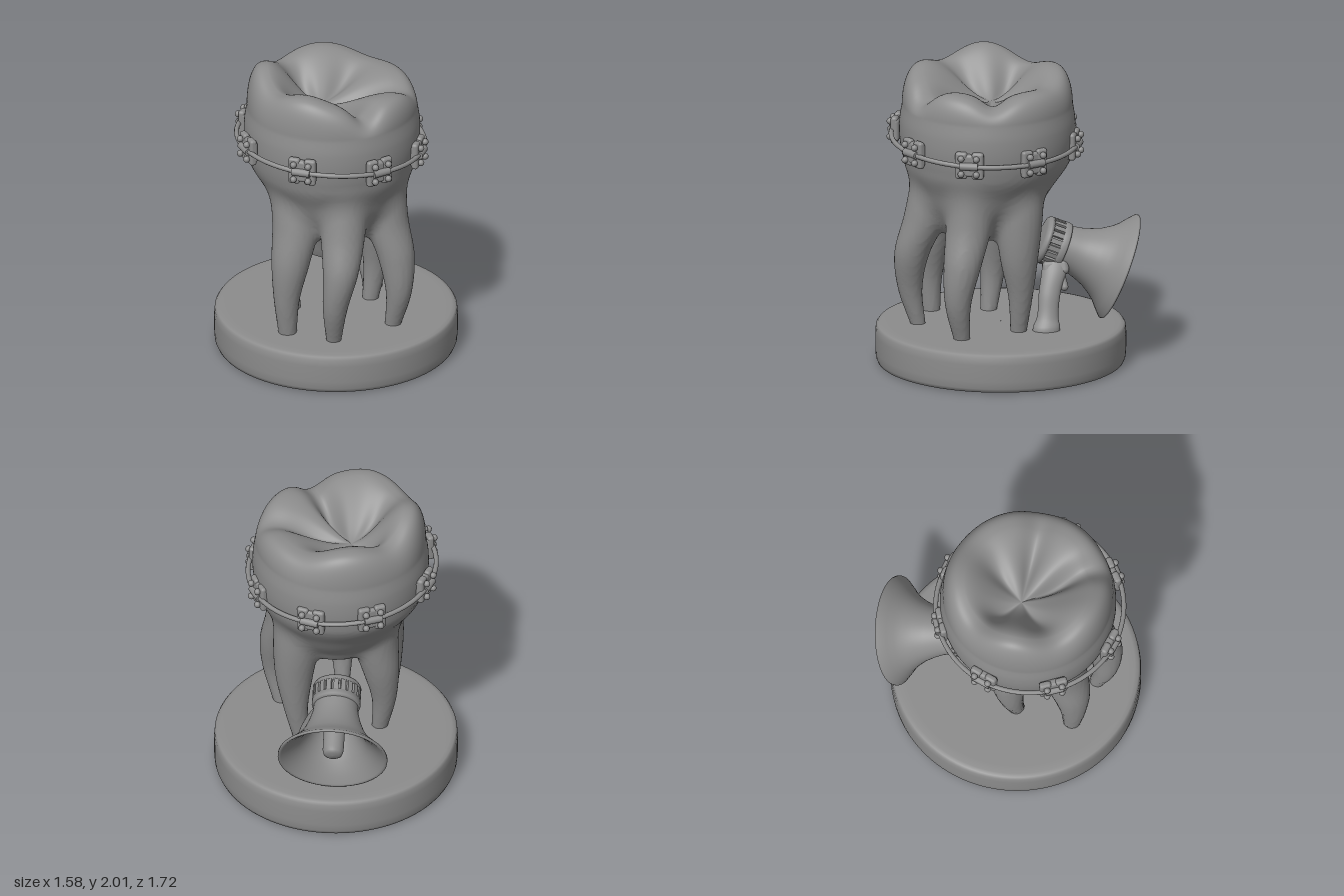
import * as THREE from 'three';
import { RoundedBoxGeometry } from 'three/addons/geometries/RoundedBoxGeometry.js';

const clay = new THREE.MeshStandardMaterial({ color: 0x8c8c8c });
clay.name = 'grey clay';
const RAD = Math.PI / 180;

function add(parent, name, geometry, x = 0, y = 0, z = 0) {
  const mesh = new THREE.Mesh(geometry, clay);
  mesh.name = name;
  mesh.position.set(x, y, z);
  parent.add(mesh);
  return mesh;
}

function build(pos, index) {
  const g = new THREE.BufferGeometry();
  g.setAttribute('position', new THREE.Float32BufferAttribute(pos, 3));
  g.setIndex(index);
  g.computeVertexNormals();
  return g;
}

// Closed-round skin: rows run upward, fn(row, angle) returns [x, y, z]
function skin(rows, sides, fn) {
  const pos = [], index = [];
  for (let i = 0; i <= rows; i++) {
    for (let j = 0; j < sides; j++) pos.push(...fn(i / rows, (j / sides) * Math.PI * 2));
  }
  for (let i = 0; i < rows; i++) {
    for (let j = 0; j < sides; j++) {
      const k = (j + 1) % sides;
      const a = i * sides + j, b = a + sides, c = i * sides + k, d = c + sides;
      index.push(a, b, c, c, b, d);
    }
  }
  return build(pos, index);
}

// Smooth skin around the zero level of field values on a cubic grid
function levelSurface(origin, step, n, f) {
  const stride = [1, n[0], n[0] * n[1]], pos = [], index = [], cell = new Map();
  const each = fn => {
    for (let k = 1; k < n[2] - 1; k++) {
      for (let j = 0; j < n[1] - 1; j++) {
        for (let i = 1; i < n[0] - 1; i++) fn([i, j, k], i + j * stride[1] + k * stride[2]);
      }
    }
  };
  each((p, id) => {
    const sum = [0, 0, 0];
    let count = 0;
    for (let c = 0; c < 8; c++) {
      for (let a = 0; a < 3; a++) {
        if (c & (1 << a)) continue;
        const o = [c & 1, (c >> 1) & 1, c >> 2];
        const q = id + o[0] + o[1] * stride[1] + o[2] * stride[2];
        const u = f[q], v = f[q + stride[a]];
        if ((u < 0) === (v < 0)) continue;
        o[a] = u / (u - v);
        for (let m = 0; m < 3; m++) sum[m] += o[m];
        count++;
      }
    }
    if (!count) return;
    cell.set(id, pos.length / 3);
    for (let m = 0; m < 3; m++) pos.push(origin[m] + step * (p[m] + sum[m] / count));
  });
  each((p, id) => {
    for (let a = 0; a < 3; a++) {
      const inside = f[id] < 0, b = stride[(a + 1) % 3], c = stride[(a + 2) % 3];
      if (inside === (f[id + stride[a]] < 0)) continue;
      const q = [id, id - b, id - b - c, id - c].map(s => cell.get(s));
      if (q.includes(undefined)) continue;
      if (!inside) q.reverse();
      index.push(q[0], q[1], q[2], q[0], q[2], q[3]);
    }
  });
  return build(pos, index);
}

// Smooth values along the height
const alongHeight = (ys, rows) => new THREE.CubicInterpolant(new Float32Array(ys), new Float32Array(rows.flat()), rows[0].length);
const wallRadius = alongHeight([0.85, 0.95, 1.0, 1.1, 1.2, 1.34, 1.48, 1.62, 1.73], [[0.24], [0.31], [0.34], [0.405], [0.457], [0.535], [0.565], [0.568], [0.552]]);

// Roots as rows of [x, z, radius], fused softly into the trunk
const roots = [
  [[-0.01, 0.58, 0.048], [0, 0.635, 0.08], [0.035, 0.625, 0.115], [0.05, 0.535, 0.145], [0.05, 0.465, 0.16]],
  [[0.37, 0.33, 0.052], [0.41, 0.36, 0.085], [0.39, 0.33, 0.122], [0.32, 0.28, 0.15], [0.285, 0.25, 0.17]],
  [[0.22, -0.05, 0.052], [0.255, -0.06, 0.08], [0.265, -0.05, 0.122], [0.25, -0.05, 0.152], [0.22, -0.05, 0.17]],
  [[-0.31, 0.47, 0.058], [-0.315, 0.48, 0.085], [-0.29, 0.46, 0.125], [-0.255, 0.4, 0.155], [-0.26, 0.33, 0.17]],
  [[-0.28, 0.1, 0.052], [-0.31, 0.07, 0.08], [-0.29, 0.05, 0.12], [-0.25, 0.05, 0.155], [-0.25, 0.03, 0.17]],
].map(rows => alongHeight([0.24, 0.5, 0.75, 1.0, 1.28], rows));

function softMin(a, b, k) {
  const h = Math.max(k - Math.abs(a - b), 0) / k;
  return Math.min(a, b) - (h * h * k) / 4;
}

function rootsGeometry() {
  const step = 0.02, n = [66, 63, 66], origin = [-0.67, 0.23, -0.49];
  const field = new Float32Array(n[0] * n[1] * n[2]);
  for (let j = 0; j < n[1]; j++) {
    const y = origin[1] + j * step, R = wallRadius.evaluate(y)[0];
    const low = THREE.MathUtils.clamp((1.38 - y) / 0.38, 0, 1);
    const rings = roots.map(r => [...r.evaluate(y)]);
    for (let k = 0; k < n[2]; k++) {
      for (let i = 0; i < n[0]; i++) {
        const x = origin[0] + i * step, z = origin[2] + k * step;
        const side = Math.hypot(x + 0.025 - 0.03 * low, z - 0.13 - 0.055 * low) - R;
        let d = Math.max(side, 0.92 - 0.25 * Math.max(0, x - 0.1) - y);
        for (const [cx, cz, r] of rings) d = softMin(d, Math.hypot(x - cx, z - cz) - r, 0.06);
        field[i + n[0] * (j + n[1] * k)] = d;
      }
    }
  }
  return levelSurface(origin, step, n, field);
}

// Sum of bell curves around the circle, each [degrees, height, width]
function bells(list, a) {
  let sum = 0;
  for (const [deg, h, w] of list) {
    let d = a / RAD - deg;
    d -= 360 * Math.round(d / 360);
    sum += h * Math.exp(-(d * d) / (w * w));
  }
  return sum;
}
const cusps = [[35, 0.03, 24], [112, 0.1, 32], [182, 0.14, 32], [260, 0.09, 36], [325, 0.02, 24], [0, -0.04, 12], [64, -0.05, 11]];
const fissures = [[0, 0.06, 16], [62, 0.13, 13], [147, 0.07, 16], [220, 0.1, 17], [298, 0.06, 17]];

// Crown: side wall, then rounded cusps sinking into a central pit
function crownGeometry() {
  return skin(84, 120, (v, a) => {
    const top = 1.87 + bells(cusps, a), groove = bells(fissures, a);
    const c = Math.cos(a), s = Math.sin(a);
    if (v < 0.4) {
      const y = 1.4 + 0.33 * (v / 0.4), r = wallRadius.evaluate(y)[0] + 0.002;
      return [-0.025 + c * r, y, 0.13 + s * r];
    }
    const rim = top - 0.25 * groove;
    if (v < 0.7) {
      // shoulder rolling over the rim
      const q = ((v - 0.4) / 0.3) * Math.PI / 2;
      const r = 0.42 + 0.134 * Math.max(0, Math.cos(q)) ** 0.65 - 0.15 * groove * Math.sin(q);
      return [-0.025 + c * r, 1.73 + (rim - 1.73) * Math.sin(q), 0.13 + s * r];
    }
    // chewing surface
    const u = THREE.MathUtils.clamp(1 - (v - 0.7) / 0.3, 0, 1);
    const r = u * (0.42 - 0.15 * groove), e = u * u * (3 - 2 * u);
    const y = 1.72 + (rim - 1.72) * (0.15 * u + 0.85 * e) - groove * 0.65 * Math.sin(Math.PI * u) ** 2;
    return [-0.025 - 0.07 * (1 - u) + c * r, y, 0.13 - 0.03 * (1 - u) + s * r];
  });
}

// Braces: tilted wire ring with eight brackets
function makeBraces() {
  const braces = new THREE.Group();
  braces.name = 'braces';
  const at = (a, r) => {
    const x = -0.034 + r * Math.cos(a), z = 0.143 + r * Math.sin(a);
    return new THREE.Vector3(x, 1.5 - 0.06 * x + 0.02 * z, z);
  };
  const ring = [];
  for (let i = 0; i < 32; i++) ring.push(at((i / 32) * Math.PI * 2, 0.61));
  add(braces, 'wire', new THREE.TubeGeometry(new THREE.CatmullRomCurve3(ring, true), 128, 0.016, 10, true));

  const plate = new RoundedBoxGeometry(0.185, 0.15, 0.05, 3, 0.02);
  const wing = new RoundedBoxGeometry(0.078, 0.18, 0.045, 3, 0.018);
  const knob = new THREE.SphereGeometry(0.022, 14, 10);
  const sleeve = new THREE.CylinderGeometry(0.025, 0.025, 0.12, 14).rotateZ(Math.PI / 2);
  for (const deg of [-112.6, -73.3, -27.3, 15.2, 57.1, 107.7, 154.8, 200.3]) {
    const bracket = new THREE.Group();
    bracket.name = 'bracket';
    bracket.position.copy(at(deg * RAD, 0.582));
    bracket.rotation.y = Math.PI / 2 - deg * RAD;
    add(bracket, 'plate', plate);
    add(bracket, 'sleeve', sleeve, 0, 0, 0.03);
    for (const sx of [-1, 1]) {
      add(bracket, 'wing', wing, sx * 0.054, 0, 0.006);
      for (const sy of [-1, 1]) add(bracket, 'knob', knob, sx * 0.05, sy * 0.052, 0.04);
    }
    braces.add(bracket);
  }
  return braces;
}

const lathe = (pts, sides) => new THREE.LatheGeometry(pts.map(p => new THREE.Vector2(p[0], p[1])), sides);

// Megaphone: horn axis is local y, with the mouth at y = 0
function makeMegaphone() {
  const megaphone = new THREE.Group();
  megaphone.name = 'megaphone';
  const body = new THREE.Group();
  body.name = 'body';
  body.position.set(-0.025, 0.6, -0.73);
  body.rotation.x = 1.19;
  megaphone.add(body);
  add(body, 'horn', lathe([
    [0.001, 0.36], [0.11, 0.34], [0.125, 0.26], [0.165, 0.18], [0.22, 0.1], [0.29, 0.035], [0.335, 0.002],
    [0.345, -0.006], [0.356, -0.002], [0.356, 0.01], [0.308, 0.055], [0.268, 0.09], [0.235, 0.13],
    [0.198, 0.19], [0.17, 0.26], [0.15, 0.33], [0.139, 0.43],
  ], 56));
  add(body, 'speaker plug', lathe([[0.001, 0.015], [0.04, 0.018], [0.06, 0.032], [0.068, 0.06], [0.07, 0.36]], 32));
  // Slotted cap: two bands joined by ribs
  add(body, 'cap core', new THREE.CylinderGeometry(0.138, 0.138, 0.13, 40), 0, 0.475, 0);
  add(body, 'cap band', lathe([[0.135, 0.385], [0.154, 0.39], [0.158, 0.4], [0.158, 0.435], [0.135, 0.437]], 40));
  add(body, 'cap end', lathe([[0.13, 0.508], [0.157, 0.51], [0.157, 0.53], [0.148, 0.546], [0.12, 0.553], [0.001, 0.555]], 40));
  const rib = new THREE.BoxGeometry(0.032, 0.09, 0.03);
  for (let i = 0; i < 20; i++) {
    const a = (i / 20) * Math.PI * 2;
    add(body, 'cap rib', rib, Math.sin(a) * 0.1415, 0.47, Math.cos(a) * 0.1415).rotation.y = a;
  }
  // Handle leaning to one side, with flared foot and trigger; rows of [x, z, radius]
  const grip = alongHeight([0.25, 0.285, 0.33, 0.5, 0.62, 0.69], [[0.235, -0.23, 0.09], [0.23, -0.232, 0.087],
    [0.21, -0.24, 0.072], [0.15, -0.262, 0.072], [0.09, -0.295, 0.082], [0.04, -0.31, 0.085]]);
  add(megaphone, 'handle', skin(32, 28, (t, a) => {
    const y = 0.25 + 0.44 * t, [x, z, r] = grip.evaluate(y);
    return [x + Math.cos(a) * r * 0.72, y, z + Math.sin(a) * r];
  }));
  const mount = add(megaphone, 'handle mount', new RoundedBoxGeometry(0.11, 0.1, 0.17, 3, 0.03), 0.07, 0.63, -0.305);
  mount.rotation.set(0.1, 0, 0.35);
  const trigger = add(megaphone, 'trigger', new THREE.CapsuleGeometry(0.026, 0.06, 6, 12), 0.12, 0.545, -0.35);
  trigger.rotation.set(0.25, 0, 0.4);
  return megaphone;
}

export function createModel() {
  const model = new THREE.Group();
  model.name = 'tooth with megaphone';
  // Round base with softened edges
  const base = add(model, 'base', lathe([[0.001, 0], [0.75, 0], [0.776, 0.006], [0.786, 0.03], [0.79, 0.08], [0.79, 0.19],
    [0.786, 0.235], [0.774, 0.252], [0.75, 0.258], [0.7, 0.26], [0.001, 0.26]], 96), 0, 0, 0.045);
  base.scale.z = 1.03;
  const tooth = new THREE.Group();
  tooth.name = 'tooth';
  add(tooth, 'crown', crownGeometry());
  add(tooth, 'roots', rootsGeometry());
  model.add(tooth, makeBraces(), makeMegaphone());
  return model;
}
